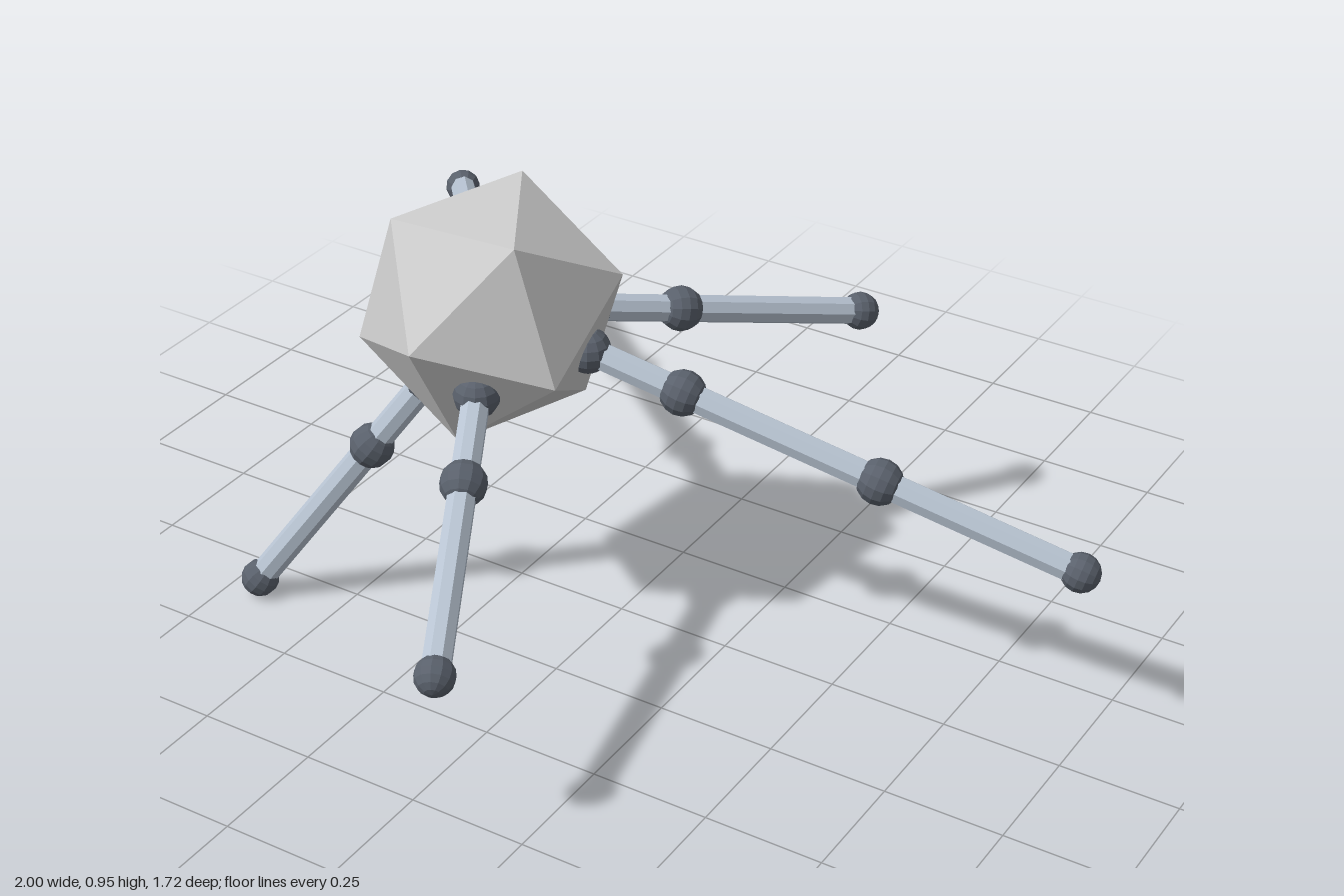
import * as THREE from 'three';

const CENTRE = new THREE.Vector3(-0.225, 0.72, 0.128);
const BODY_RADIUS = 0.273;
const BASE = 0.215; // distance from body centre to the leg sockets
const STEP = 0.42; // distance between joints along a leg
const UP = new THREE.Vector3(0, 1, 0);

const material = (color) => new THREE.MeshStandardMaterial({ color, flatShading: true });

export function createModel() {
  const model = new THREE.Group();
  model.name = 'leggedBody';
  const bodyMat = material(0xcccccc);
  const rodMat = material(0xb8c4d2);
  const jointMat = material(0x5a616c);

  const add = (parent, name, geometry, mat, position) => {
    const mesh = new THREE.Mesh(geometry, mat);
    mesh.name = name;
    mesh.position.copy(position);
    parent.add(mesh);
    return mesh;
  };

  // Faceted body, tipped slightly forward
  const body = add(model, 'body', new THREE.IcosahedronGeometry(BODY_RADIUS, 0), bodyMat, CENTRE);
  body.rotation.set(0.487, 0, 0.045, 'ZXY');

  // Straight legs radiating from the body centre: foot position and number of joints
  const legs = [
    { name: 'backRightLeg', foot: [-0.963, 0.377, -0.829], count: 3 },
    { name: 'leftLeg', foot: [0.963, 0.377, -0.11], count: 3 },
    { name: 'backLeftLeg', foot: [0.251, 0.535, -0.538], count: 2 },
    { name: 'frontLeg', foot: [0.112, 0.377, 0.815], count: 2 },
    { name: 'frontRightLeg', foot: [-0.674, 0.042, 0.352], count: 2 },
  ];

  const socketGeo = new THREE.SphereGeometry(0.047, 12, 8);
  const footGeo = new THREE.SphereGeometry(0.04, 12, 8);

  for (const { name, foot, count } of legs) {
    const leg = new THREE.Group();
    leg.name = name;
    model.add(leg);
    const end = new THREE.Vector3(...foot);
    const dir = end.clone().sub(CENTRE).normalize();
    const at = (d) => CENTRE.clone().addScaledVector(dir, d);

    add(leg, 'socket', socketGeo, jointMat, at(BASE));
    let from = at(BASE);
    for (let i = 1; i <= count; i++) {
      const last = i === count;
      const to = last ? end : at(STEP * i);
      // Rod between two joints
      const rodGeo = new THREE.CylinderGeometry(0.029, 0.029, from.distanceTo(to), 8);
      const rod = add(leg, 'rod', rodGeo, rodMat, from.clone().lerp(to, 0.5));
      rod.quaternion.setFromUnitVectors(UP, dir);
      // Ball at the end of the rod
      const ball = add(leg, last ? 'foot' : 'joint', last ? footGeo : socketGeo, jointMat, to);
      ball.quaternion.setFromUnitVectors(UP, dir);
      from = to;
    }
  }
  return model;
}
